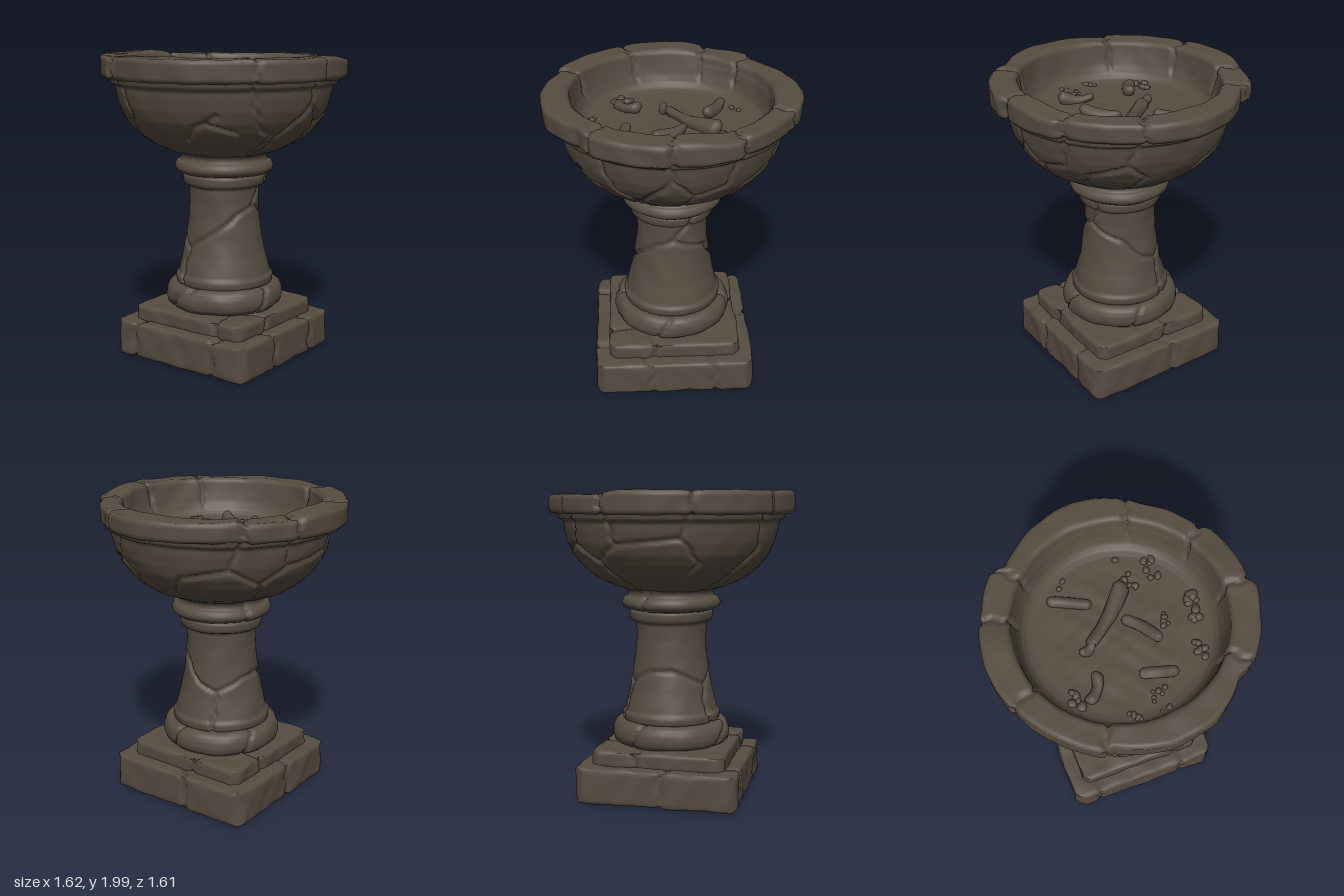
import * as THREE from 'three';
import { mergeVertices } from 'three/addons/utils/BufferGeometryUtils.js';

const DEG = Math.PI / 180;
const stone = new THREE.MeshStandardMaterial({ color: 0x564c41 });
stone.name = 'weathered stone';

let seed = 7;
const rand = () => (seed = (seed * 16807) % 2147483647) / 2147483647;

// gentle lumpy field for worn surfaces
const lumps = (x, y, z) =>
  Math.sin(x * 9 + y * 5 + 1) * Math.sin(z * 10 - y * 7) * 0.6 +
  Math.sin(x * 23 - z * 17 + y * 21) * 0.3 + Math.sin(z * 31 + x * 13 - y * 29) * 0.2;

function segmentDistance(px, py, ax, ay, bx, by) {
  const dx = bx - ax, dy = by - ay;
  const t = THREE.MathUtils.clamp(((px - ax) * dx + (py - ay) * dy) / (dx * dx + dy * dy), 0, 1);
  return Math.hypot(px - ax - dx * t, py - ay - dy * t);
}

// cracks as polylines of [degrees around from the front, height]
const bowlCracks = [
  [[-27, 1.84], [-23, 1.62], [-31, 1.54], [-39, 1.36]],
  [[14, 1.49], [19, 1.57], [26, 1.6], [32, 1.65]], [[26, 1.6], [43, 1.54]],
  [[50, 1.84], [52, 1.7], [57, 1.55], [66, 1.51], [60, 1.4]],
  [[86, 1.84], [88, 1.7], [70, 1.51], [66, 1.38]], [[88, 1.7], [99, 1.57], [95, 1.4]],
  [[121, 1.84], [116, 1.62], [99, 1.57]],
  [[156, 1.84], [150, 1.66], [160, 1.56], [152, 1.4]], [[150, 1.66], [130, 1.58], [125, 1.45]],
  [[-69, 1.84], [-72, 1.7], [-62, 1.55], [-70, 1.42]],
  [[-110, 1.84], [-108, 1.66], [-122, 1.55], [-115, 1.38]], [[-108, 1.66], [-72, 1.7]],
  [[-134, 1.84], [-140, 1.66], [-165, 1.6], [-175, 1.46]], [[-140, 1.66], [-122, 1.55]],
];
const columnCracks = [
  [[-75, 0.84], [-22, 0.74], [23, 0.86], [60, 0.97], [88, 1.02], [150, 0.93], [180, 0.8]],
  [[-180, 0.8], [-150, 0.75], [-110, 0.83], [-75, 0.84]],
  [[-22, 0.74], [-28, 0.62], [-22, 0.5]], [[88, 1.02], [112, 1.13], [116, 1.22]],
  [[-150, 0.75], [-155, 0.5]],
];
const ringCracks = [
  [[-28, 0.35], [-18, 0.42], [0, 0.49]], [[72, 0.35], [80, 0.42], [85, 0.49]],
  [[-120, 0.35], [-110, 0.49]], [[160, 0.35], [168, 0.49]],
];

// depth of the groove at an angle (degrees), height and radius
function crackDepth(cracks, a, y, r, width = 0.02, depth = 0.02) {
  let d = 1;
  const k = DEG * r, wa = a + (Math.sin(y * 60) * 0.006) / k;
  for (const line of cracks)
    for (let i = 1; i < line.length; i++) {
      const [a0, y0] = line[i - 1], [a1, y1] = line[i];
      d = Math.min(d, segmentDistance(wa * k, y, a0 * k, y0, a1 * k, y1));
    }
  return depth * Math.max(0, 1 - d / width);
}

// drop the seams, move every vertex by a rule, then smooth the normals
function sculpt(geo, rule) {
  geo.deleteAttribute('uv');
  geo.deleteAttribute('normal');
  geo = mergeVertices(geo, 1e-5);
  geo.computeVertexNormals();
  const p = geo.attributes.position, n = geo.attributes.normal;
  const v = new THREE.Vector3(), m = new THREE.Vector3();
  for (let i = 0; i < p.count; i++) {
    v.fromBufferAttribute(p, i);
    m.fromBufferAttribute(n, i);
    rule(v, m);
    p.setXYZ(i, v.x, v.y, v.z);
  }
  geo.computeVertexNormals();
  return geo;
}

// turned part with a finely divided profile
function turned(profile, step, sides, rule) {
  const pts = [];
  profile.forEach(([x, y], i) => {
    if (i) {
      const [px, py] = profile[i - 1], n = Math.max(1, Math.round(Math.hypot(x - px, y - py) / step));
      for (let k = 1; k < n; k++) pts.push(new THREE.Vector2(px + ((x - px) * k) / n, py + ((y - py) * k) / n));
    }
    pts.push(new THREE.Vector2(x, y));
  });
  return sculpt(new THREE.LatheGeometry(pts, sides), (v, n) =>
    rule(v, n, Math.atan2(v.x, v.z) / DEG, Math.hypot(v.x, v.z)));
}
const cracked = (cracks, rough) => (v, n, a, r) =>
  v.addScaledVector(n, lumps(v.x, v.y, v.z) * rough - crackDepth(cracks, a, v.y, r));

// worn square slab, split along lines in plan
function slab(w, h, y, splits) {
  const rad = 0.03, half = new THREE.Vector3(w / 2, h / 2, w / 2);
  const core = half.clone().subScalar(rad), inner = new THREE.Vector3();
  const geo = sculpt(new THREE.BoxGeometry(w, h, w, 48, 12, 48), (v, n) => {
    inner.copy(v).clamp(core.clone().negate(), core);
    v.sub(inner).setLength(rad).add(inner);
    let d = 1;
    const wob = Math.sin(v.y * 40) * 0.008;
    for (const s of splits)
      for (let i = 1; i < s.length; i++) d = Math.min(d, segmentDistance(v.x + wob, v.z + wob, ...s[i - 1], ...s[i]));
    // chipped corners and edges
    const corner = Math.max(0, Math.abs(v.x) + Math.abs(v.z) - w * 0.94);
    v.x -= Math.sign(v.x) * corner * 0.4;
    v.z -= Math.sign(v.z) * corner * 0.4;
    v.addScaledVector(n, lumps(v.x * 1.3, v.y + y, v.z * 1.3) * 0.007 - 0.004 - 0.022 * Math.max(0, 1 - d / 0.024));
  });
  return geo.translate(0, y, 0);
}

// outer edge of the rim blocks: [degrees, radius], stepping at each joint
const rimEdge = [[-180, 0.81], [-158, 0.79], [-137, 0.745], [-133, 0.81], [-113, 0.8], [-109, 0.8], [-90, 0.81],
  [-70, 0.81], [-67, 0.8], [-48, 0.79], [-27, 0.8], [-23, 0.765], [0, 0.8], [22, 0.8], [42, 0.755], [48, 0.78],
  [51, 0.795], [84, 0.81], [89, 0.775], [117, 0.795], [122, 0.76], [150, 0.77], [156, 0.785], [180, 0.81]];
const rimJoints = [156, 120, 87, 49.5, -27, -69, -110, -134];
function rimRadius(a) {
  const i = Math.max(1, rimEdge.findIndex((e) => e[0] >= a));
  const [a0, r0] = rimEdge[i - 1], [a1, r1] = rimEdge[i];
  return r0 + ((r1 - r0) * (a - a0)) / (a1 - a0);
}
function rimRule(v, n, a, r) {
  const wa = a + Math.sin(r * 45) * 0.9 + Math.sin(v.y * 50) * 0.5;
  const d = Math.min(...rimJoints.map((j) => Math.abs(wa - j))) * DEG * r;
  const fade = THREE.MathUtils.smoothstep(v.y, 1.76, 1.86);
  const k = 1 + (rimRadius(a) / 0.8 - 1) * THREE.MathUtils.smoothstep(r, 0.62, 0.78);
  v.x *= k;
  v.z *= k;
  if (v.y > 1.9) v.y -= 0.022 * THREE.MathUtils.smoothstep(-v.z, 0.1, 0.3);
  v.addScaledVector(n, (lumps(v.x, v.y, v.z) * 0.006 - 0.024 * Math.max(0, 1 - d / 0.022)) * fade);
}

export function createModel() {
  const model = new THREE.Group();
  model.name = 'stoneBirdbath';
  const add = (name, geo, parent = model) => {
    const mesh = new THREE.Mesh(geo, stone);
    mesh.name = name;
    parent.add(mesh);
    return mesh;
  };

  // square plinth
  add('lowerSlab', slab(1.05, 0.24, 0.13, [
    [[-0.35, 0.6], [-0.3, 0.1], [-0.6, 0.02]], [[0.27, 0.6], [0.3, 0.25], [0.6, 0.12]],
    [[0.6, -0.27], [0.1, -0.2], [-0.12, -0.6]], [[-0.3, 0.1], [0.1, -0.2]]]));
  add('upperSlab', slab(0.87, 0.12, 0.285, [
    [[0.26, 0.5], [0.2, 0.2], [0.5, 0.1]], [[-0.5, -0.15], [-0.1, -0.1], [-0.08, -0.5]]]));

  // pedestal
  add('baseRing', turned([[0.3, 0.33], [0.35, 0.342], [0.378, 0.365], [0.388, 0.4], [0.385, 0.44],
    [0.37, 0.475], [0.345, 0.493], [0.26, 0.5]], 0.013, 180, cracked(ringCracks, 0.006)));
  add('column', turned([[0.28, 0.49], [0.318, 0.495], [0.322, 0.54], [0.305, 0.56], [0.296, 0.6], [0.272, 0.69],
    [0.252, 0.8], [0.236, 0.92], [0.228, 1.03], [0.23, 1.135], [0.262, 1.15], [0.27, 1.17],
    [0.272, 1.21], [0.24, 1.23]], 0.013, 140, cracked(columnCracks, 0.004)));
  add('collar', turned([[0.24, 1.215], [0.29, 1.225], [0.318, 1.245], [0.324, 1.27], [0.31, 1.3], [0.284, 1.31],
    [0.278, 1.335], [0.3, 1.37], [0.34, 1.39]], 0.016, 100, cracked([[[-115, 1.2], [-110, 1.36]]], 0.004)));

  // bowl and rim
  add('bowl', turned([[0.22, 1.35], [0.3, 1.358], [0.37, 1.38], [0.46, 1.42], [0.54, 1.475], [0.6, 1.535],
    [0.645, 1.6], [0.675, 1.67], [0.692, 1.74], [0.7, 1.795], [0.73, 1.81], [0.74, 1.85]],
  0.014, 300, cracked(bowlCracks, 0.004)));
  add('rim', turned([[0.7, 1.842], [0.78, 1.842], [0.798, 1.86], [0.8, 1.965], [0.783, 1.985], [0.65, 1.987],
    [0.628, 1.97], [0.617, 1.9], [0.602, 1.83], [0.58, 1.775], [0.55, 1.745], [0.5, 1.732]], 0.016, 280, rimRule));
  add('basinFloor', turned([[0.51, 1.734], [0.4, 1.728], [0, 1.728]], 0.04, 64, (v, n, a, r) => {
    v.y += lumps(v.x * 2, 0, v.z * 2) * 0.008 * THREE.MathUtils.smoothstep(0.5 - r, 0, 0.1);
  }));

  // fallen twigs: start, end (x, z) and thickness
  const debris = new THREE.Group();
  debris.name = 'debris';
  model.add(debris);
  const twigs = [[-0.32, -0.34, -0.11, -0.23, 0.035], [-0.18, 0.01, 0.12, -0.27, 0.045],
    [0.06, -0.08, 0.21, 0.11, 0.035], [-0.3, 0.34, -0.21, 0.21, 0.04],
    [0.03, 0.28, 0.22, 0.34, 0.036], [-0.25, 0.05, -0.17, 0.01, 0.03]];
  for (const [x0, z0, x1, z1, r] of twigs) {
    const len = Math.hypot(x1 - x0, z1 - z0);
    const geo = sculpt(new THREE.CapsuleGeometry(r, Math.max(0.02, len - r), 4, 10, 4), (v) => {
      v.x *= 1 + 0.3 * Math.sin((v.y / len) * 4 + len * 30);
      v.x += 0.012 * Math.cos((v.y / len) * 5);
    });
    const twig = add('twig', geo, debris);
    twig.position.set((x0 + x1) / 2, 1.748, (z0 + z1) / 2);
    twig.quaternion.setFromUnitVectors(new THREE.Vector3(0, 1, 0),
      new THREE.Vector3(x1 - x0, 0.015, z1 - z0).normalize());
  }

  // pebble clusters: centre (x, z), spread, count, size
  const clusters = [[0.46, 0, 0.1, 10, 0.026], [0.4, 0.24, 0.08, 6, 0.024], [0.32, -0.33, 0.07, 9, 0.018],
    [0.14, -0.36, 0.11, 9, 0.018], [-0.39, 0.29, 0.07, 8, 0.024], [0.08, 0.48, 0.09, 10, 0.016],
    [-0.1, 0.5, 0.06, 6, 0.015], [0.28, 0, 0.05, 5, 0.016], [-0.25, -0.45, 0.1, 5, 0.015]];
  const pebble = new THREE.SphereGeometry(1, 10, 7);
  for (const [x, z, spread, count, size] of clusters)
    for (let i = 0; i < count; i++) {
      const p = add('pebble', pebble, debris);
      const s = size * (0.7 + rand() * 0.5);
      p.position.set(x + (rand() - 0.5) * spread, 1.735, z + (rand() - 0.5) * spread * 2);
      p.scale.set(s, s * 0.9, s * (1 + rand() * 0.4));
      p.rotation.y = rand() * 3;
    }
  return model;
}
